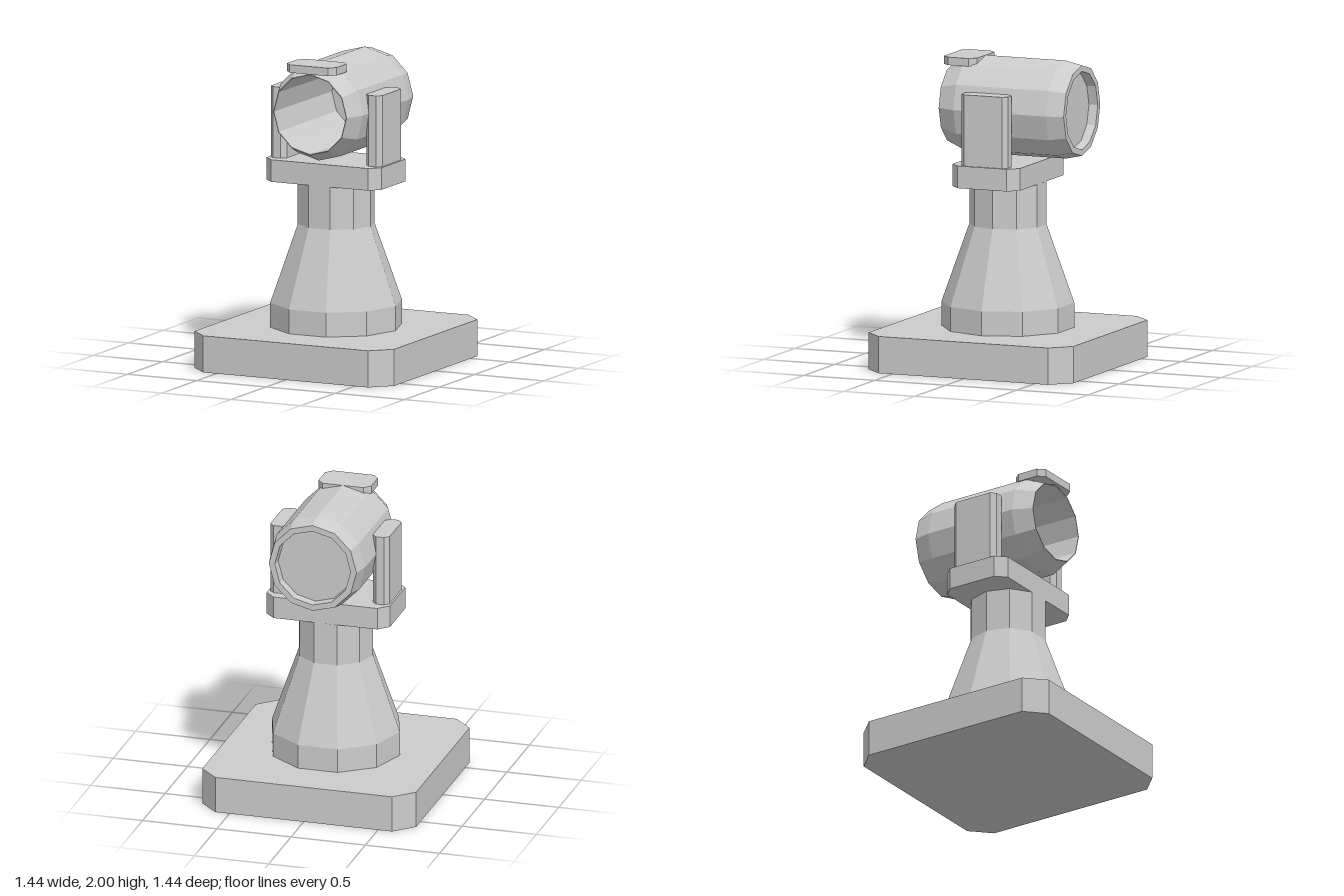
import * as THREE from 'three';

const grey = new THREE.MeshStandardMaterial({ color: 0xcccccc });
grey.name = 'light grey';

// Faceted mesh with one normal per face
function faceted(name, geometry) {
  const flat = geometry.index ? geometry.toNonIndexed() : geometry;
  flat.computeVertexNormals();
  const mesh = new THREE.Mesh(flat, grey);
  mesh.name = name;
  return mesh;
}

// Upright slab with its four vertical corners cut off (w, d are half sizes)
function slab(name, w, d, cutX, cutZ, y0, y1) {
  const outline = [
    [w, -d + cutZ], [w, d - cutZ], [w - cutX, d], [-w + cutX, d],
    [-w, d - cutZ], [-w, -d + cutZ], [-w + cutX, -d], [w - cutX, -d],
  ].map(([x, z]) => new THREE.Vector2(x, z));
  const geometry = new THREE.ExtrudeGeometry(new THREE.Shape(outline), {
    depth: y1 - y0, bevelEnabled: false,
  });
  geometry.rotateX(-Math.PI / 2).translate(0, y0, 0);
  return faceted(name, geometry);
}

function turned(points, sides, start = 0) {
  const profile = points.map(([r, y]) => new THREE.Vector2(r, y));
  return new THREE.LatheGeometry(profile, sides, start);
}

export function createModel() {
  const model = new THREE.Group();
  model.name = 'mountedTube';

  // Square base and ten-sided pedestal
  model.add(slab('base', 0.72, 0.72, 0.125, 0.125, 0, 0.24));
  model.add(faceted('pedestal', turned(
    [[0.43, 0.24], [0.43, 0.4], [0.25, 0.91], [0.25, 1.19]], 10, Math.PI / 2)));

  // Yoke: platform and two upright arms
  const yoke = new THREE.Group();
  yoke.name = 'yoke';
  yoke.add(slab('platform', 0.415, 0.237, 0.065, 0.065, 1.19, 1.335));
  for (const side of [-1, 1]) {
    const arm = slab(side > 0 ? 'leftArm' : 'rightArm', 0.057, 0.163, 0.03, 0.03, 1.33, 1.8);
    arm.position.x = side * 0.345;
    yoke.add(arm);
  }
  model.add(yoke);

  // Twelve-sided barrel, hollow from the front, with a recessed rear plate
  const barrel = turned([
    [0, -0.46], [0.25, -0.46], [0.255, -0.52], [0.295, -0.52], [0.32, -0.405],
    [0.32, 0.245], [0.265, 0.372], [0.26, 0.372], [0.252, -0.44], [0, -0.44],
  ], 12);
  barrel.rotateX(Math.PI / 2).translate(0, 1.68, 0);
  model.add(faceted('barrel', barrel));

  // Small plate over the muzzle
  const plate = slab('topPlate', 0.178, 0.117, 0.04, 0.045, 1.948, 2);
  plate.position.z = 0.273;
  model.add(plate);

  return model;
}
